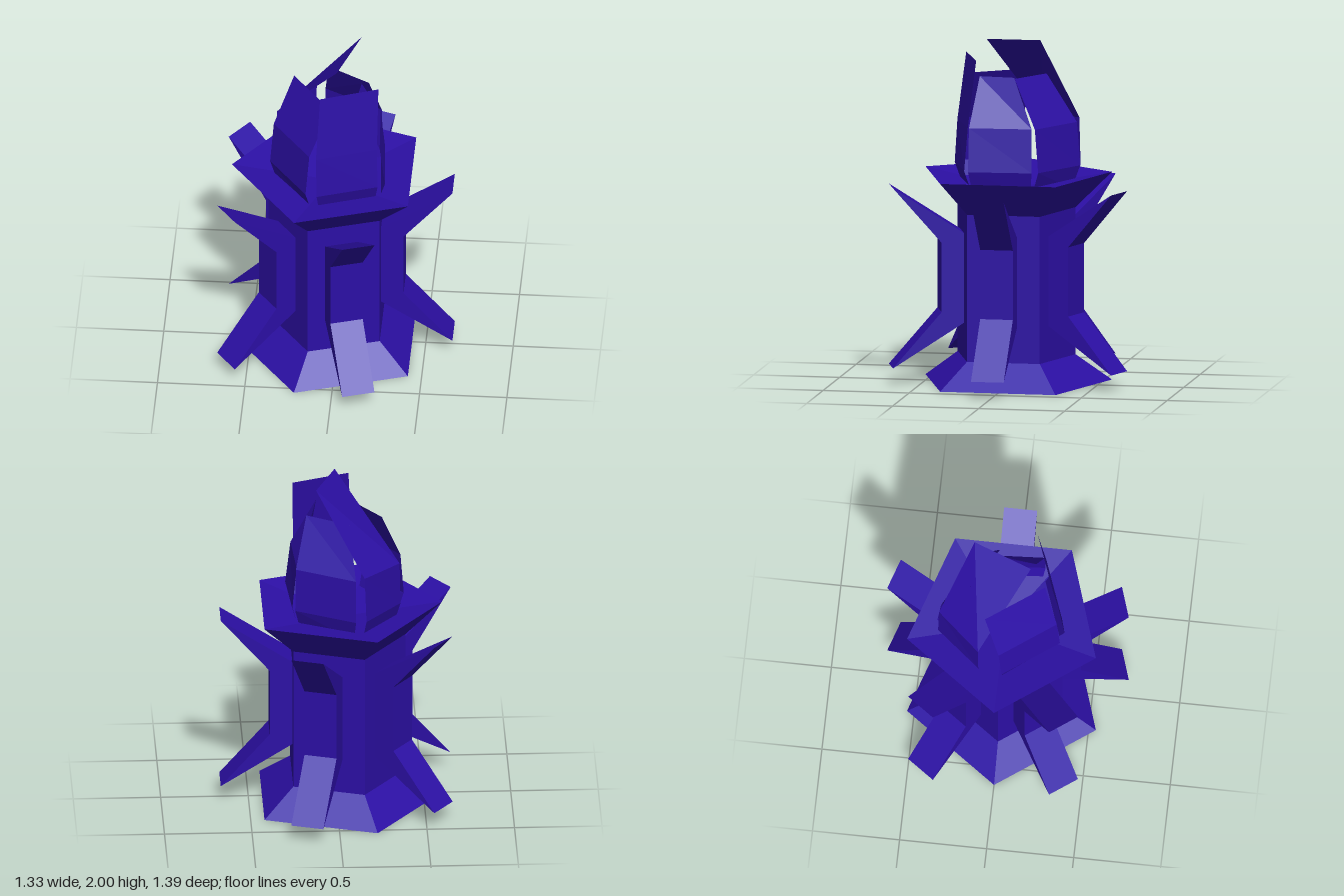
import * as THREE from 'three';

const material = new THREE.MeshStandardMaterial({
  color: 0x2c0fa5, flatShading: true, side: THREE.DoubleSide,
});

function add(parent, name, geometry) {
  const mesh = new THREE.Mesh(geometry, material);
  mesh.name = name;
  parent.add(mesh);
  return mesh;
}

// Five-sided surface with one corner pointing to -x
function pentagon(profile) {
  return new THREE.LatheGeometry(profile.map(([r, y]) => new THREE.Vector2(r, y)), 5, -Math.PI / 2);
}

// Thin sheet through rows of [x, y, z] left and right edge points
function sheet(rows) {
  const index = [];
  for (let i = 0; i < rows.length - 1; i++) {
    const a = i * 2;
    index.push(a, a + 1, a + 2, a + 1, a + 3, a + 2);
  }
  const g = new THREE.BufferGeometry();
  g.setAttribute('position', new THREE.Float32BufferAttribute(rows.flat(2), 3));
  g.setIndex(index);
  g.computeVertexNormals();
  return g;
}

export function createModel() {
  const model = new THREE.Group();
  model.name = 'torch';

  // Body: hollow column flared at foot and rim, with a shallow dish on top
  const body = new THREE.Group();
  body.name = 'body';
  body.position.x = -0.04;
  model.add(body);
  add(body, 'column', pentagon([[0.57, 0], [0.36, 0.15], [0.36, 1.0], [0.57, 1.2]]));
  add(body, 'dish', pentagon([[0.57, 1.2], [0, 1.12]]));

  // Five bent fins, pointed at both ends, one on each side of the column
  const finShape = new THREE.Shape([
    [0.70, 0.10], [0.42, 0.42], [0.42, 0.82], [0.70, 1.14], [0.27, 0.86], [0.27, 0.37],
  ].map(([x, y]) => new THREE.Vector2(x, y)));
  const finGeometry = new THREE.ExtrudeGeometry(finShape, { depth: 0.19, bevelEnabled: false });
  finGeometry.translate(0, 0, -0.08);
  for (let i = 0; i < 5; i++) {
    add(body, 'fin' + (i + 1), finGeometry).rotation.y = (i * Math.PI * 2) / 5;
  }

  // Flame blades: sheets rising from the dish and leaning inward
  const flames = new THREE.Group();
  flames.name = 'flames';
  model.add(flames);
  const blades = {
    frontFlame: [
      [[-0.09, 1.12, 0.30], [0.22, 1.12, 0.19]],
      [[-0.10, 1.25, 0.35], [0.24, 1.25, 0.23]],
      [[-0.105, 1.5, 0.335], [0.235, 1.5, 0.21]],
      [[-0.085, 1.89, 0.28], [0.24, 1.89, 0.16]],
    ],
    rightFlame: [
      [[-0.35, 1.12, 0.02], [-0.14, 1.12, 0.29]],
      [[-0.39, 1.25, 0.02], [-0.165, 1.25, 0.33]],
      [[-0.37, 1.5, 0.0], [-0.145, 1.5, 0.31]],
      [[-0.26, 1.78, -0.09], [-0.03, 1.78, 0.23]],
    ],
    leftFlame: [
      [[0.24, 1.12, 0.18], [0.22, 1.12, -0.15]],
      [[0.28, 1.25, 0.20], [0.255, 1.25, -0.165]],
      [[0.25, 1.5, 0.20], [0.23, 1.5, -0.16]],
      [[0.105, 1.78, 0.165], [0.13, 1.78, -0.04]],
    ],
    backLeftFlame: [
      [[0.21, 1.12, -0.16], [-0.09, 1.12, -0.33]],
      [[0.24, 1.25, -0.20], [-0.10, 1.25, -0.38]],
      [[0.235, 1.5, -0.18], [-0.10, 1.5, -0.36]],
      [[0.17, 1.78, -0.05], [-0.07, 1.78, -0.19]],
    ],
    backRightFlame: [
      [[-0.14, 1.12, -0.33], [-0.33, 1.12, -0.10]],
      [[-0.16, 1.25, -0.37], [-0.365, 1.25, -0.12]],
      [[-0.15, 1.52, -0.365], [-0.36, 1.5, -0.12]],
      [[0.12, 2.0, -0.19], [0.0, 1.98, 0.145]],
    ],
  };
  for (const [name, rows] of Object.entries(blades)) add(flames, name, sheet(rows));

  return model;
}
